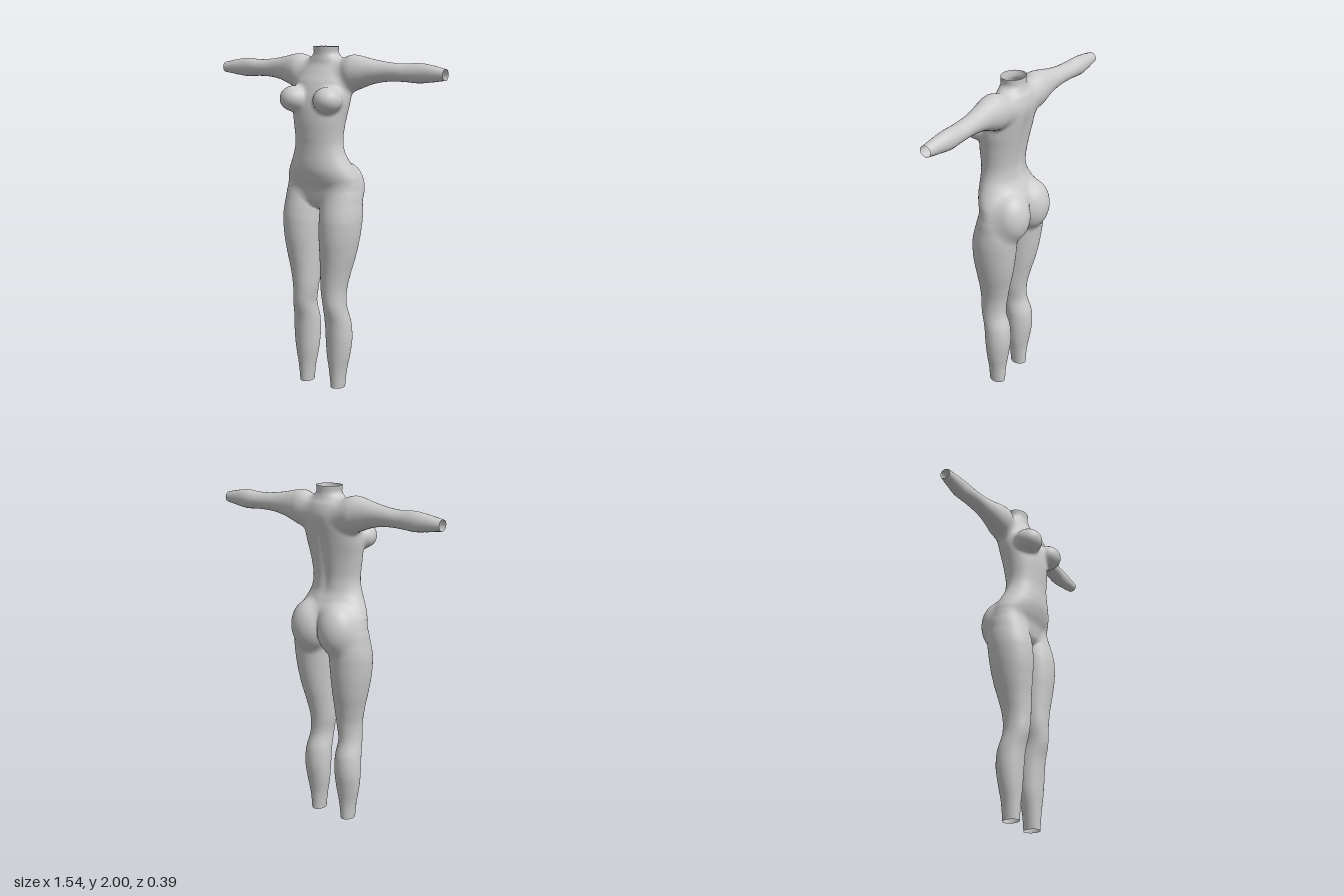
import * as THREE from 'three';
import { mergeVertices } from 'three/addons/utils/BufferGeometryUtils.js';

// Cross-sections. Torso: y, half width, front z, back z
const TORSO = [
  [1.09, 0.03, 0.07, -0.05], [1.12, 0.11, 0.088, -0.09], [1.15, 0.18, 0.094, -0.115],
  [1.2, 0.225, 0.103, -0.125], [1.25, 0.23, 0.124, -0.135], [1.3, 0.212, 0.139, -0.13],
  [1.35, 0.185, 0.143, -0.107], [1.4, 0.162, 0.142, -0.085], [1.45, 0.15, 0.142, -0.079],
  [1.5, 0.15, 0.145, -0.08], [1.6, 0.165, 0.148, -0.095], [1.7, 0.182, 0.135, -0.115],
  [1.8, 0.18, 0.1, -0.135], [1.85, 0.168, 0.07, -0.138], [1.9, 0.142, 0.042, -0.128],
  [1.93, 0.108, 0.035, -0.112], [1.96, 0.076, 0.03, -0.103], [2, 0.078, 0.032, -0.102],
];
// Leg: y, inner x, outer x, front z, back z
const LEG = [
  [0, 0.073, 0.153, 0.05, -0.05], [0.1, 0.06, 0.165, 0.055, -0.055], [0.2, 0.042, 0.185, 0.063, -0.07],
  [0.3, 0.035, 0.195, 0.07, -0.084], [0.4, 0.035, 0.19, 0.08, -0.079], [0.5, 0.04, 0.176, 0.104, -0.051],
  [0.6, 0.026, 0.176, 0.11, -0.055], [0.7, 0.02, 0.195, 0.115, -0.075], [0.8, 0.015, 0.22, 0.125, -0.1],
  [0.9, 0.01, 0.24, 0.135, -0.118], [1, 0.006, 0.252, 0.134, -0.13], [1.05, 0.005, 0.253, 0.127, -0.135],
  [1.1, 0.005, 0.249, 0.115, -0.135], [1.2, 0.02, 0.235, 0.085, -0.115], [1.28, 0.06, 0.185, 0.06, -0.08],
];
// Arm: x, bottom y, top y, front z, back z
const ARM = [
  [0.05, 1.8, 1.9, 0, -0.1], [0.12, 1.77, 1.937, 0.025, -0.12], [0.18, 1.752, 1.956, 0.043, -0.124],
  [0.23, 1.766, 1.952, 0.038, -0.117], [0.31, 1.795, 1.935, 0.018, -0.108], [0.4, 1.812, 1.921, 0, -0.105],
  [0.5, 1.815, 1.914, -0.006, -0.107], [0.6, 1.81, 1.92, -0.015, -0.11], [0.68, 1.818, 1.91, -0.018, -0.1],
  [0.765, 1.83, 1.893, -0.02, -0.086],
];

// Smooth interpolation between the rows of a section table
function section(rows, t) {
  const n = rows.length - 1;
  t = Math.min(Math.max(t, rows[0][0]), rows[n][0]);
  let i = 0;
  while (i < n - 1 && t > rows[i + 1][0]) i++;
  const p0 = rows[Math.max(i - 1, 0)], p1 = rows[i], p2 = rows[i + 1], p3 = rows[Math.min(i + 2, n)];
  const h = p2[0] - p1[0], u = (t - p1[0]) / h, v = 1 - u;
  return p1.map((a, k) => {
    const m1 = (p2[k] - p0[k]) / (p2[0] - p0[0]) * h, m2 = (p3[k] - a) / (p3[0] - p1[0]) * h;
    return a * (1 + 2 * u) * v * v + m1 * u * v * v + p2[k] * u * u * (3 - 2 * u) - m2 * u * u * v;
  });
}

// Approximate distance to an ellipse or ellipsoid
function ellipsoid(x, y, z, rx, ry, rz) {
  const k0 = Math.hypot(x / rx, y / ry, z / rz);
  const k1 = Math.hypot(x / rx / rx, y / ry / ry, z / rz / rz);
  return k0 < 1e-6 ? -Math.min(rx, ry, rz) : k0 * (k0 - 1) / k1;
}
const oval = (a, b, a0, a1, b0, b1) =>
  ellipsoid(a - (a0 + a1) / 2, b - (b0 + b1) / 2, 0, (a1 - a0) / 2, (b1 - b0) / 2, 1);

// Soft union
function blend(a, b, k) {
  const h = Math.max(k - Math.abs(a - b), 0) / k;
  return Math.min(a, b) - h * h * k / 4;
}

// Signed distance to the whole mirrored body
function body(px, y, z) {
  const x = Math.abs(px);
  const t = section(TORSO, y);
  let d = oval(x, z, -t[1], t[1], t[3], t[2]) + Math.max(0, 1.09 - y) * 2;
  // Spine groove
  if (z < 0) d += 0.012 * Math.exp(-((x / 0.03) ** 2) - ((y - 1.6) / 0.2) ** 4);
  // Breasts
  d = blend(d, ellipsoid(x - 0.116, y - 1.708, z - 0.114, 0.083, 0.074, 0.085), 0.025);
  // Legs and buttocks
  if (y < 1.45) {
    const l = section(LEG, y);
    d = blend(d, oval(x, z, l[1], l[2], l[4], l[3]) + Math.max(0, y - 1.28) * 2, 0.025);
    d = blend(d, ellipsoid(x - 0.097, y - 1.19, z + 0.088, 0.118, 0.15, 0.108), 0.03);
  }
  // Arms
  if (y > 1.5) {
    const a = section(ARM, x);
    d = blend(d, oval(y, z, a[1], a[2], a[4], a[3]) + Math.max(0, 0.05 - x) * 2, 0.035);
  }
  return d;
}

function gradient(p) {
  const e = 0.001, f = (x, y, z) => body(p.x + x, p.y + y, p.z + z);
  return new THREE.Vector3(f(e, 0, 0) - f(-e, 0, 0), f(0, e, 0) - f(0, -e, 0), f(0, 0, e) - f(0, 0, -e))
    .divideScalar(2 * e);
}

function partAt(p) {
  const side = p.x > 0 ? 'left' : 'right';
  if (Math.abs(p.x) > 0.21 && p.y > 1.7) return side + 'Arm';
  return p.y < 1.06 ? side + 'Leg' : 'torso';
}

export function createModel() {
  // Sampling grid; it stops half a cell past the wrists, ankles and neck so they stay open
  const step = [0.765 / 61.5, 0.0125, 0.0125], size = [125, 162, 39];
  const start = [-62 * step[0], -0.00625, -0.2375];
  const stride = [1, size[0], size[0] * size[1]];
  const at = (i, j, k) => i + j * stride[1] + k * stride[2];
  const values = new Float32Array(size[0] * size[1] * size[2]);
  const eachPoint = (fn) => {
    for (let k = 0; k < size[2]; k++)
      for (let j = 0; j < size[1]; j++)
        for (let i = 0; i < size[0]; i++) fn([i, j, k], at(i, j, k));
  };
  eachPoint((c, id) => {
    values[id] = body(...c.map((n, a) => start[a] + n * step[a]));
  });

  // One surface point in each cell the skin passes through
  const points = new Map();
  eachPoint((c, id) => {
    if (c.some((n, a) => n >= size[a] - 1)) return;
    const sum = new THREE.Vector3();
    let count = 0;
    for (let corner = 0; corner < 8; corner++) {
      const bits = [corner & 1, (corner >> 1) & 1, corner >> 2];
      const v0 = values[id + at(...bits)];
      for (let a = 0; a < 3; a++) {
        if (bits[a]) continue;
        const v1 = values[id + at(...bits) + stride[a]];
        if ((v0 < 0) === (v1 < 0)) continue;
        const q = bits.slice();
        q[a] = v0 / (v0 - v1);
        sum.add(new THREE.Vector3(...q));
        count++;
      }
    }
    if (!count) return;
    sum.divideScalar(count);
    const position = new THREE.Vector3(...sum.toArray().map((s, a) => start[a] + (c[a] + s) * step[a]));
    points.set(id, { position, normal: gradient(position).normalize() });
  });

  // Quads across every grid edge that crosses the skin, sorted into named parts
  const parts = {};
  eachPoint((c, id) => {
    for (let a = 0; a < 3; a++) {
      const b = (a + 1) % 3, d = (a + 2) % 3;
      if (c[a] >= size[a] - 1 || !c[b] || !c[d] || c[b] >= size[b] - 1 || c[d] >= size[d] - 1) continue;
      const inside = values[id] < 0;
      if (inside === values[id + stride[a]] < 0) continue;
      const quad = [id - stride[b] - stride[d], id - stride[d], id, id - stride[b]].map((n) => points.get(n));
      if (!inside) quad.reverse();
      const centre = quad.reduce((s, q) => s.add(q.position), new THREE.Vector3()).divideScalar(4);
      const part = (parts[partAt(centre)] ??= { position: [], normal: [] });
      for (const n of [0, 1, 2, 0, 2, 3]) {
        part.position.push(...quad[n].position.toArray());
        part.normal.push(...quad[n].normal.toArray());
      }
    }
  });

  const group = new THREE.Group();
  group.name = 'bodyForm';
  const material = new THREE.MeshStandardMaterial({ color: 0xcccccc, side: THREE.DoubleSide });
  for (const [name, part] of Object.entries(parts)) {
    const geometry = new THREE.BufferGeometry();
    geometry.setAttribute('position', new THREE.Float32BufferAttribute(part.position, 3));
    geometry.setAttribute('normal', new THREE.Float32BufferAttribute(part.normal, 3));
    const mesh = new THREE.Mesh(mergeVertices(geometry, 1e-5), material);
    mesh.name = name;
    group.add(mesh);
  }
  return group;
}
